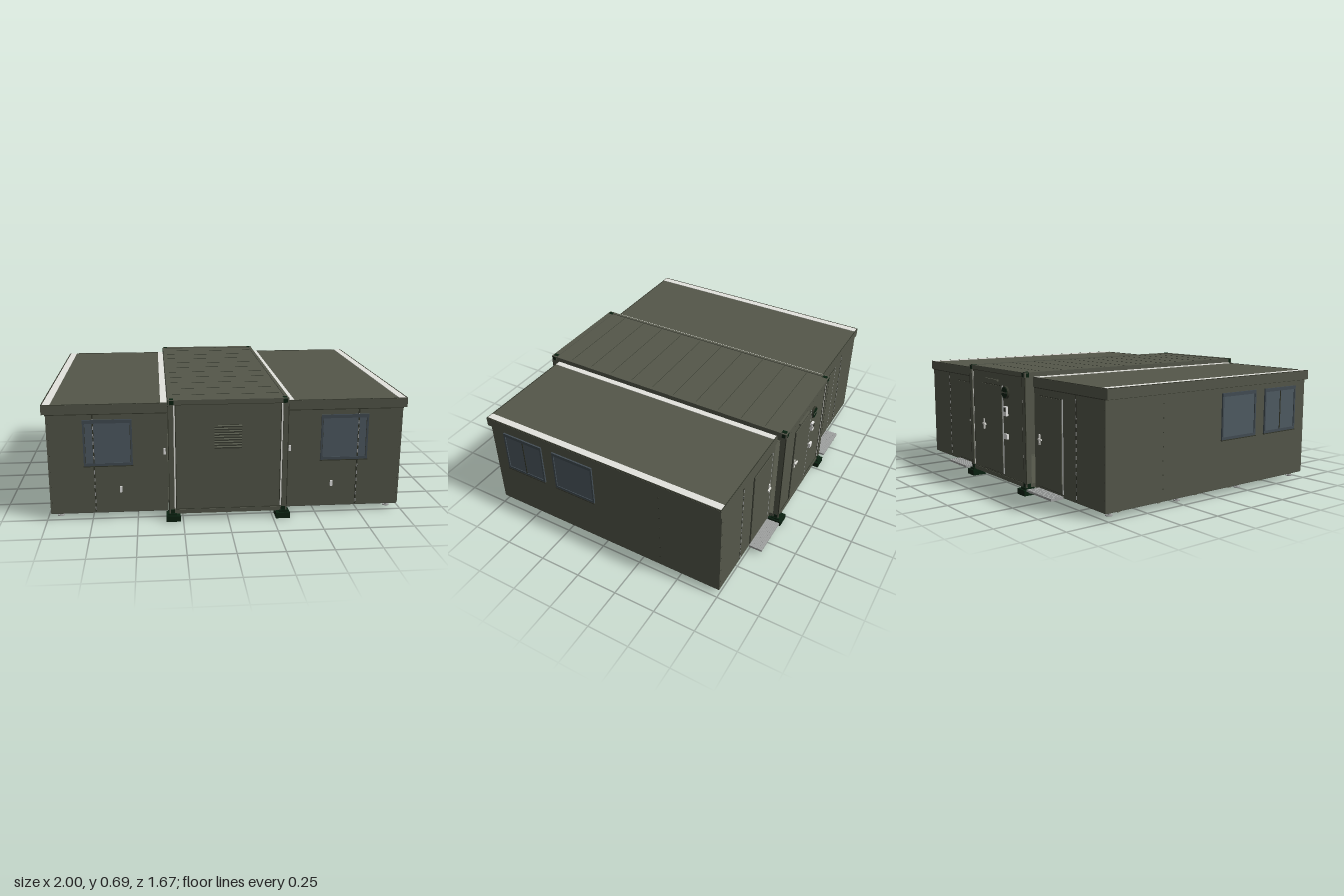
import * as THREE from 'three';

const paint = (name, color) => {
  const m = new THREE.MeshStandardMaterial({ color });
  m.name = name;
  return m;
};

export function createModel() {
  const olive = paint('olive paint', 0x54574a);
  const trim = paint('dark olive trim', 0x33362b);
  const under = paint('underside olive', 0x484b40);
  const joist = paint('joist grey green', 0x7c8070);
  const blackGreen = paint('black green steel', 0x0a2010);
  const seal = paint('pale seal', 0xe4e4de);
  const glass = paint('slate glass', 0x4f5b63);
  const frame = paint('window frame', 0x434d54);
  const metal = paint('grey metal', 0xa0a2a1);
  const white = paint('white plastic', 0xe6e6e4);

  const model = new THREE.Group();
  model.name = 'expandableCabin';

  const group = (name, parent = model) => {
    const g = new THREE.Group();
    g.name = name;
    parent.add(g);
    return g;
  };
  // Box given by its limits on each axis
  const box = (parent, name, mat, x0, x1, y0, y1, z0, z1) => {
    const mesh = new THREE.Mesh(new THREE.BoxGeometry(Math.abs(x1 - x0), y1 - y0, Math.abs(z1 - z0)), mat);
    mesh.position.set((x0 + x1) / 2, (y0 + y1) / 2, (z0 + z1) / 2);
    mesh.name = name;
    parent.add(mesh);
    return mesh;
  };
  const disc = (parent, name, mat, r, h, x, y, z, alongZ) => {
    const mesh = new THREE.Mesh(new THREE.CylinderGeometry(r, r, h, 20), mat);
    if (alongZ) mesh.rotation.x = Math.PI / 2;
    mesh.position.set(x, y, z);
    mesh.name = name;
    parent.add(mesh);
  };
  // Local XY panel facing +z, placed on a wall by position and turn
  const wallPanel = (name, parent, x, y, z, turn) => {
    const g = group(name, parent);
    g.position.set(x, y, z);
    g.rotation.y = turn;
    return g;
  };
  const addWindow = (parent, x, y, z, turn, w, h, mullion) => {
    const g = wallPanel('window', parent, x, y, z, turn);
    const a = w / 2, b = h / 2, t = 0.01;
    box(g, 'windowGasket', trim, -a + t, a - t, -b + t, b - t, 0, 0.003);
    box(g, 'windowGlass', glass, -a + t + 0.002, a - t - 0.002, -b + t + 0.002, b - t - 0.002, 0, 0.005);
    for (const s of [-1, 1]) {
      box(g, 'windowStile', frame, s * a, s * (a - t), -b, b, 0, 0.009);
      box(g, 'windowRail', frame, -a, a, s * b, s * b + 2 * t, 0, 0.009).position.y = s * (b - t / 2);
    }
    if (mullion) box(g, 'windowMullion', trim, -0.003, 0.003, -b + t, b - t, 0, 0.008);
    box(g, 'windowSill', trim, -a - 0.003, a + 0.003, -b - 0.005, -b, 0, 0.011);
  };
  // Back door: dark surround, leaf, pale edge strip and a handle at side hs
  const addDoor = (parent, x, y, z, w, h, hs) => {
    const g = wallPanel('door', parent, x, y, z, Math.PI);
    const a = w / 2, b = h / 2;
    box(g, 'doorSurround', trim, -a, a, -b, b, 0, 0.003);
    box(g, 'doorLeaf', olive, -a + 0.004, a - 0.004, -b + 0.004, b - 0.004, 0, 0.007);
    box(g, 'doorEdgeStrip', metal, a, a + 0.004, -b, b, 0, 0.006);
    box(g, 'doorHandlePlate', seal, hs * (a - 0.014), hs * (a - 0.026), -0.02, 0.04, 0.005, 0.012);
    box(g, 'doorHandle', seal, hs * (a - 0.014), hs * (a - 0.05), 0.008, 0.016, 0.012, 0.02);
  };

  // Folding wings, one on each side
  for (const s of [-1, 1]) {
    const wing = group(s > 0 ? 'leftWing' : 'rightWing');
    box(wing, 'wingBody', olive, s * 0.33, s * 0.979, 0.039, 0.61, -0.752, 0.752);
    box(wing, 'wingUnderside', under, s * 0.335, s * 0.977, 0.035, 0.04, -0.75, 0.75);
    box(wing, 'roofFascia', olive, s * 0.328, s * 1.0, 0.605, 0.657, -0.757, 0.757);
    box(wing, 'roofDrip', trim, s * 0.33, s * 0.981, 0.6, 0.606, -0.754, 0.754);
    box(wing, 'innerRoofSeal', seal, s * 0.33, s * 0.365, 0.655, 0.66, -0.752, 0.752);
    box(wing, 'outerRoofSeal', seal, s * 0.952, s * 0.992, 0.655, 0.66, -0.752, 0.752);
    box(wing, 'roofEdge', trim, s * 0.993, s * 0.999, 0.655, 0.66, -0.756, 0.756);
    for (const e of [-1, 1])
      box(wing, 'roofEndEdge', trim, s * 0.33, s * 0.999, 0.655, 0.659, e * 0.752, e * 0.7565);

    // Windows on the end wall and the long side
    addWindow(wing, s * 0.653, 0.44, 0.752, 0, 0.265, 0.255, false);
    addWindow(wing, s * 0.979, 0.44, 0.527, s * Math.PI / 2, 0.27, 0.255, true);
    addWindow(wing, s * 0.979, 0.44, 0.18, s * Math.PI / 2, 0.27, 0.255, false);

    // Dashed folding seams on both ends
    for (const e of [-1, 1]) {
      const face = e > 0 ? 0.758 : 0.753;
      box(wing, 'foldSeam', trim, s * 0.727, s * 0.734, 0.045, 0.6, e * 0.749, e * face);
      for (let i = 0; i < 13; i++) {
        const y = 0.055 + i * 0.042;
        box(wing, 'seamHinge', metal, s * 0.728, s * 0.733, y, y + 0.02, e * 0.75, e * (face + 0.002));
      }
      for (let i = 0; i < 6; i++)
        box(wing, 'cornerRivet', trim, s * 0.966, s * 0.97, 0.1 + i * 0.09, 0.104 + i * 0.09, e * 0.75, e * 0.754);
    }
    for (let i = 0; i < 7; i++)
      box(wing, 'sideRivet', trim, s * 0.978, s * 0.981, 0.1 + i * 0.075, 0.106 + i * 0.075, -0.383, -0.377);

    // Sockets and latch on the front
    box(wing, 'wallSocket', white, s * 0.582, s * 0.596, 0.155, 0.188, 0.75, 0.759);
    box(wing, 'frontLatch', white, s * 0.34, s * 0.352, 0.368, 0.402, 0.75, 0.76);

    // Back door and mesh step
    addDoor(wing, s * 0.49, 0.31, -0.752, 0.235, 0.51, s);
    const step = group('meshStep', wing);
    for (let i = 0; i < 8; i++) {
      const z = -0.833 + i * 0.0102;
      box(step, 'stepSlat', metal, s * 0.365, s * 0.61, 0.032, 0.044, z, z + 0.0085);
    }
    for (let i = 0; i < 9; i++) {
      const x = 0.367 + i * 0.03;
      box(step, 'stepBar', metal, s * x, s * (x + 0.003), 0.03, 0.043, -0.833, -0.753);
    }

    // Floor joists and jack feet
    for (let i = 0; i < 6; i++) {
      const z = -0.66 + i * 0.265;
      box(wing, 'floorJoist', joist, s * 0.335, s * 0.97, 0.028, 0.036, z - 0.009, z + 0.009);
    }
    for (const [x, z] of [[0.93, -0.695], [0.93, -0.235], [0.655, 0], [0.93, 0.235], [0.93, 0.7]]) {
      disc(wing, 'jackStem', metal, 0.008, 0.026, s * x, 0.023, z);
      disc(wing, 'jackPad', metal, 0.019, 0.005, s * x, 0.01, z);
      disc(wing, 'jackFlange', metal, 0.022, 0.005, s * x, 0.033, z);
    }
  }

  // Central container: roof, floor and end frames
  const core = group('centralContainer');
  box(core, 'coreRoof', olive, -0.318, 0.318, 0.655, 0.681, -0.8, 0.8);
  box(core, 'coreFloor', olive, -0.322, 0.322, 0.042, 0.06, -0.8, 0.8);
  box(core, 'coreUnderside', glass, -0.315, 0.315, 0.036, 0.043, -0.79, 0.79);
  for (let i = 0; i < 10; i++) {
    const z = -0.67 + i * 0.149;
    box(core, 'roofSeam', trim, -0.3, 0.3, 0.68, 0.682, z - 0.001, z + 0.001);
    box(core, 'crossBeam', joist, -0.32, 0.32, 0.031, 0.04, z - 0.014, z + 0.014);
  }
  for (const s of [-1, 1]) {
    box(core, 'roofRail', olive, s * 0.308, s * 0.326, 0.64, 0.685, -0.81, 0.81);
    box(core, 'floorRail', olive, s * 0.31, s * 0.327, 0.035, 0.062, -0.79, 0.79);
    // Lifting pockets under the floor
    for (const z of [-0.31, 0.25])
      box(core, 'liftingPocket', blackGreen, s * 0.05, s * 0.27, 0.028, 0.04, z - 0.05, z + 0.05);
  }
  for (const e of [-1, 1]) {
    const end = group(e > 0 ? 'frontFrame' : 'backFrame', core);
    box(end, 'endWall', olive, -0.295, 0.295, 0.05, 0.67, e * 0.776, e * 0.802);
    box(end, 'endHeader', olive, -0.325, 0.325, 0.66, 0.685, e * 0.776, e * 0.81);
    box(end, 'endHeaderLine', trim, -0.29, 0.29, 0.657, 0.661, e * 0.8, e * 0.809);
    box(end, 'endSill', olive, -0.325, 0.325, 0.038, 0.062, e * 0.776, e * 0.808);
    box(end, 'endSillLine', trim, -0.29, 0.29, 0.062, 0.065, e * 0.8, e * 0.805);
    for (const s of [-1, 1]) {
      box(end, 'cornerPost', olive, s * 0.298, s * 0.327, 0.035, 0.685, e * 0.775, e * 0.81);
      box(end, 'postEdge', trim, s * 0.324, s * 0.328, 0.06, 0.655, e * 0.806, e * 0.8105);
      box(end, 'postSeal', seal, s * 0.289, s * 0.297, 0.068, 0.655, e * 0.8, e * 0.805);
      box(end, 'postLine', trim, s * 0.285, s * 0.289, 0.068, 0.655, e * 0.8, e * 0.804);
      // Corner castings and ground pads
      for (const y of [0.038, 0.656]) {
        box(end, 'cornerCasting', blackGreen, s * 0.295, s * 0.318, y + 0.003, y + 0.025, e * 0.8, e * 0.8115);
        box(end, 'castingSide', blackGreen, s * 0.322, s * 0.329, y + 0.003, y + 0.025, e * 0.782, e * 0.802);
      }
      box(end, 'castingTop', blackGreen, s * 0.296, s * 0.318, 0.682, 0.6865, e * 0.775, e * 0.803);
      box(end, 'groundPad', blackGreen, s * 0.265, s * 0.343, 0, 0.032, e * 0.75, e * 0.833);
      box(end, 'padSocket', blackGreen, s * 0.285, s * 0.335, 0.032, 0.042, e * 0.765, e * 0.82);
    }
  }

  // Louvred vent on the front
  const vent = group('louvredVent');
  box(vent, 'ventBack', trim, -0.077, 0.073, 0.41, 0.542, 0.8, 0.806);
  for (let i = 0; i < 9; i++) {
    const blade = box(vent, 'ventBlade', olive, -0.077, 0.073, 0.411 + i * 0.0148, 0.421 + i * 0.0148, 0.804, 0.814);
    blade.rotation.x = 0.35;
  }

  // Door, fan and service boxes on the back
  const service = group('backService');
  addDoor(service, 0.05, 0.33, -0.802, 0.235, 0.52, -1);
  disc(service, 'fanRing', trim, 0.036, 0.014, -0.11, 0.555, -0.808, true);
  disc(service, 'fanCover', blackGreen, 0.031, 0.018, -0.11, 0.555, -0.809, true);
  box(service, 'fanBar', olive, -0.139, -0.081, 0.552, 0.558, -0.802, -0.82);
  box(service, 'meterBox', white, -0.126, -0.096, 0.42, 0.475, -0.8, -0.816);
  box(service, 'meterFace', trim, -0.121, -0.101, 0.445, 0.468, -0.81, -0.818);
  box(service, 'powerInlet', white, -0.128, -0.096, 0.285, 0.315, -0.8, -0.815);
  box(service, 'doorHood', olive, -0.02, 0.12, 0.61, 0.62, -0.8, -0.813);

  return model;
}
